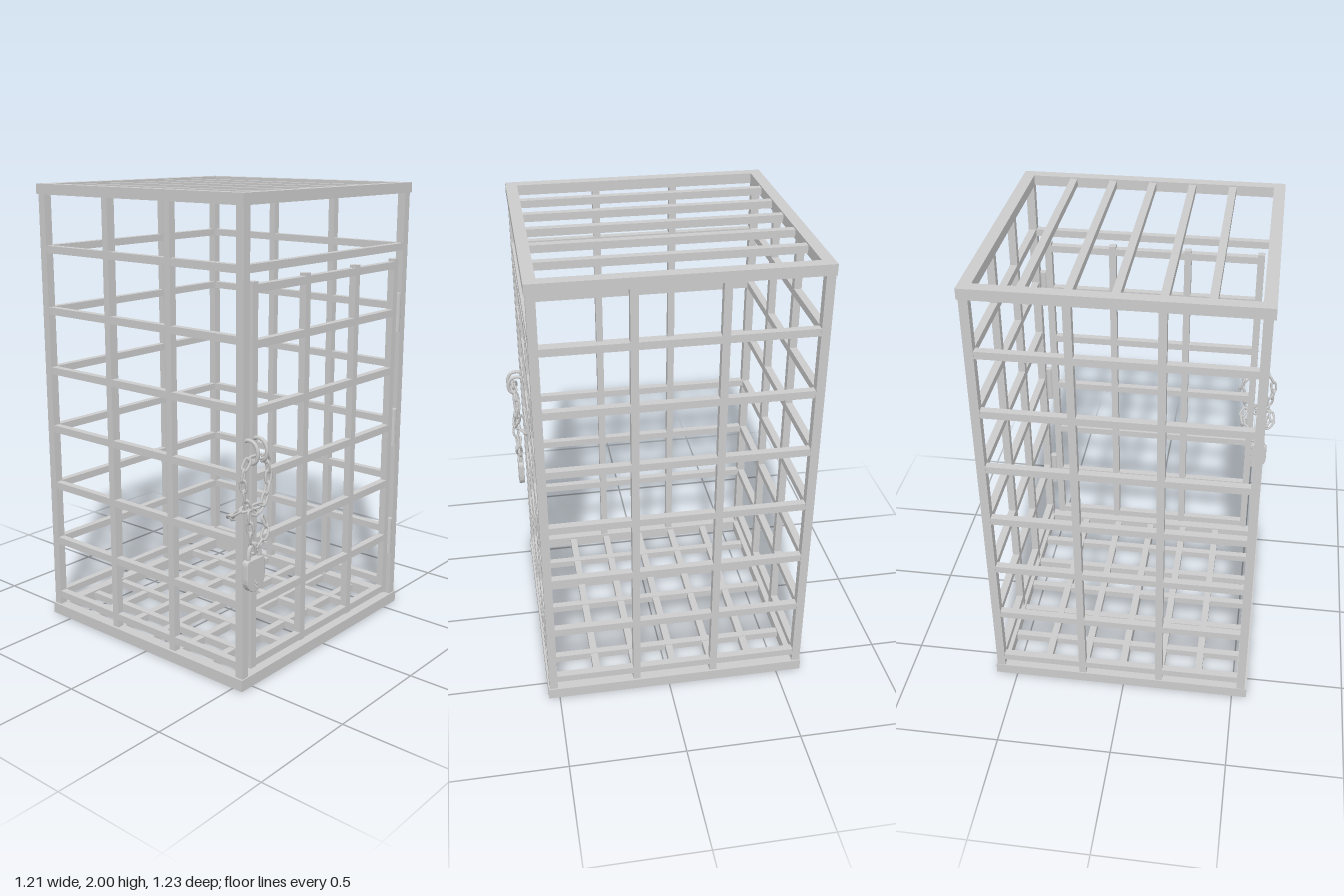
import * as THREE from 'three';

const mat = new THREE.MeshStandardMaterial({ color: 0xcccccc });
const V = (x, y, z) => new THREE.Vector3(x, y, z);

// outer edges of the cage
const X0 = -0.566, X1 = 0.598, Z0 = -0.613, Z1 = 0.549;
const POST = 0.037, BAR = 0.032, FRAME = 0.05;
// centre lines of the four walls
const WX0 = -0.538, WX1 = 0.573, WZ0 = -0.592, WZ1 = 0.525;

function add(parent, name, geometry) {
  const mesh = new THREE.Mesh(geometry, mat);
  mesh.name = name;
  parent.add(mesh);
  return mesh;
}

// box given by its limits on each axis
function box(parent, name, x0, x1, y0, y1, z0, z1) {
  const mesh = add(parent, name, new THREE.BoxGeometry(x1 - x0, y1 - y0, z1 - z0));
  mesh.position.set((x0 + x1) / 2, (y0 + y1) / 2, (z0 + z1) / 2);
  return mesh;
}

// square bars along each axis
const h = BAR / 2;
const barX = (p, n, x0, x1, y, z) => box(p, n, x0, x1, y - h, y + h, z - h, z + h);
const barY = (p, n, x, y0, y1, z, w = h) => box(p, n, x - w, x + w, y0, y1, z - w, z + w);
const barZ = (p, n, x, y, z0, z1) => box(p, n, x - h, x + h, y - h, y + h, z0, z1);

function group(parent, name) {
  const g = new THREE.Group();
  g.name = name;
  parent.add(g);
  return g;
}

function rimFrame(parent, name, y0, y1) {
  const g = group(parent, name);
  box(g, 'frontRim', X0, X1, y0, y1, Z1 - FRAME, Z1);
  box(g, 'backRim', X0, X1, y0, y1, Z0, Z0 + FRAME);
  box(g, 'rightRim', X0, X0 + FRAME, y0, y1, Z0 + FRAME, Z1 - FRAME);
  box(g, 'leftRim', X1 - FRAME, X1, y0, y1, Z0 + FRAME, Z1 - FRAME);
}

function buildCage(root) {
  const cage = group(root, 'cage');
  rimFrame(cage, 'topFrame', 1.955, 2);
  rimFrame(cage, 'bottomFrame', 0, 0.05);

  for (const x of [WX0, WX1])
    for (const z of [WZ0, WZ1]) barY(cage, 'cornerPost', x, 0.04, 1.96, z, POST / 2);

  // side and back walls
  for (let i = 0; i < 7; i++) {
    const y = 0.1 + i * 0.27;
    barX(cage, 'backRail', WX0, WX1, y, WZ0);
    for (const x of [WX0, WX1]) barZ(cage, 'sideRail', x, y, WZ0, WZ1);
  }
  for (const x of [-0.162, 0.19]) barY(cage, 'backBar', x, 0.04, 1.96, WZ0);
  for (const z of [0.148, -0.203])
    for (const x of [WX0, WX1]) barY(cage, 'sideBar', x, 0.04, 1.96, z);

  // header above the door
  barX(cage, 'doorHeader', WX0, WX1, 1.72, WZ1);

  // roof bars run front to back, the floor is a full grid
  for (let i = 0; i < 5; i++) {
    const x = -0.338 + i * 0.1765, z = -0.388 + i * 0.1765;
    barZ(cage, 'roofBar', x, 1.978, Z0 + 0.02, Z1 - 0.02);
    barZ(cage, 'floorBar', x, 0.027, Z0 + 0.02, Z1 - 0.02);
    barX(cage, 'floorCrossBar', X0 + 0.02, X1 - 0.02, 0.024, z);
  }
}

function buildDoor(root) {
  const door = group(root, 'door');
  for (const x of [-0.483, -0.148, 0.203, 0.506]) barY(door, 'doorBar', x, 0.075, 1.67, WZ1);
  for (const y of [0.095, 0.355, 0.625, 0.893, 1.162, 1.428, 1.642])
    barX(door, 'doorRail', -0.483, 0.506, y, WZ1);
  for (const y of [0.352, 0.888, 1.425]) {
    const hinge = add(door, 'hinge', new THREE.CylinderGeometry(0.017, 0.017, 0.175, 16));
    hinge.position.set(0.54, y, 0.532);
  }
}

// one oval chain link lying in the XY plane, long axis on Y
function linkGeometry(len, wid, r) {
  const pts = [], R = wid / 2 - r, s = len / 2 - wid / 2;
  for (let i = 0; i < 12; i++) {
    const a = ((i + 0.5) / 12) * Math.PI * 2;
    pts.push(V(Math.cos(a) * R, Math.sin(a) * R + (i < 6 ? s : -s), 0));
  }
  return new THREE.TubeGeometry(new THREE.CatmullRomCurve3(pts, true), 24, r, 6, true);
}

const link = linkGeometry(0.064, 0.034, 0.0055);

// alternating links threaded along a curve
function chain(parent, name, pts, closed) {
  const g = group(parent, name);
  const curve = new THREE.CatmullRomCurve3(pts.map(p => V(...p)), closed);
  let n = Math.round(curve.getLength() / 0.046);
  if (closed && n % 2) n++;
  const m = new THREE.Matrix4();
  for (let i = 0; i < n; i++) {
    const t = (i + 0.5) / n, dir = curve.getTangentAt(t);
    const side = dir.clone().cross(Math.abs(dir.z) > 0.8 ? V(0, 1, 0) : V(0, 0, 1)).normalize();
    const out = side.clone().cross(dir);
    const mesh = add(g, 'chainLink', link);
    mesh.quaternion.setFromRotationMatrix(m.makeBasis(side, dir, out));
    mesh.rotateY(i % 2 ? 1.2 : -0.35);
    mesh.position.copy(curve.getPointAt(t));
  }
}

function buildLock(root) {
  const lock = group(root, 'lockAndChain');

  // hooks on the post and on the door edge
  for (const x of [-0.541, -0.485]) {
    const path = [[0.53, 1.055], [0.56, 1.065], [0.59, 1.055], [0.604, 1.025], [0.598, 0.99], [0.58, 0.975]];
    const curve = new THREE.CatmullRomCurve3(path.map(([z, y]) => V(x, y, z)));
    add(lock, 'hook', new THREE.TubeGeometry(curve, 20, 0.008, 8));
    const tip = add(lock, 'hookTip', new THREE.SphereGeometry(0.008, 8, 6));
    tip.position.set(x, 0.975, 0.58);
  }

  // loop hanging from the hooks
  chain(lock, 'hangingChain', [
    [-0.515, 0.995, 0.58], [-0.565, 0.99, 0.575], [-0.588, 0.93, 0.57], [-0.575, 0.85, 0.57],
    [-0.55, 0.785, 0.575], [-0.5, 0.775, 0.58], [-0.455, 0.83, 0.575], [-0.432, 0.91, 0.57],
    [-0.46, 0.985, 0.575]], true);

  // loop tied round the post and the door edge
  chain(lock, 'wrappedChain', [
    [-0.582, 0.79, 0.555], [-0.585, 0.755, 0.505], [-0.53, 0.735, 0.48], [-0.48, 0.735, 0.475],
    [-0.45, 0.75, 0.51], [-0.448, 0.785, 0.555], [-0.51, 0.8, 0.585]], true);

  // two ends dropping to the padlock
  chain(lock, 'dropChainRight', [
    [-0.57, 0.79, 0.585], [-0.557, 0.71, 0.582], [-0.538, 0.645, 0.575], [-0.525, 0.6, 0.57]], false);
  chain(lock, 'dropChainLeft', [
    [-0.465, 0.74, 0.565], [-0.45, 0.69, 0.575], [-0.475, 0.64, 0.575], [-0.51, 0.605, 0.57]], false);

  // padlock
  const padlock = group(lock, 'padlock');
  padlock.position.set(-0.521, 0, 0.57);
  const s = new THREE.Shape();
  s.moveTo(-0.04, 0.576);
  s.lineTo(0.04, 0.576);
  s.quadraticCurveTo(0.053, 0.576, 0.053, 0.555);
  s.lineTo(0.053, 0.5);
  s.bezierCurveTo(0.053, 0.423, -0.053, 0.423, -0.053, 0.5);
  s.lineTo(-0.053, 0.555);
  s.quadraticCurveTo(-0.053, 0.576, -0.04, 0.576);
  const body = add(padlock, 'padlockBody', new THREE.ExtrudeGeometry(s, {
    depth: 0.022, bevelSize: 0.003, bevelThickness: 0.003, bevelSegments: 2, curveSegments: 12 }));
  body.position.z = -0.011;
  for (const [y, r] of [[0.482, 0.009], [0.465, 0.007]]) {
    const ring = add(padlock, 'keyhole', new THREE.TorusGeometry(r, 0.002, 6, 16));
    ring.position.set(0, y, 0.014);
  }
  const shackle = new THREE.CatmullRomCurve3([
    V(-0.034, 0.565, 0), V(-0.034, 0.6, 0), V(-0.024, 0.626, 0), V(0, 0.637, 0),
    V(0.024, 0.626, 0), V(0.034, 0.6, 0), V(0.034, 0.565, 0)]);
  add(padlock, 'shackle', new THREE.TubeGeometry(shackle, 28, 0.009, 8));
}

export function createModel() {
  const root = new THREE.Group();
  root.name = 'lockedCage';
  buildCage(root);
  buildDoor(root);
  buildLock(root);
  return root;
}
